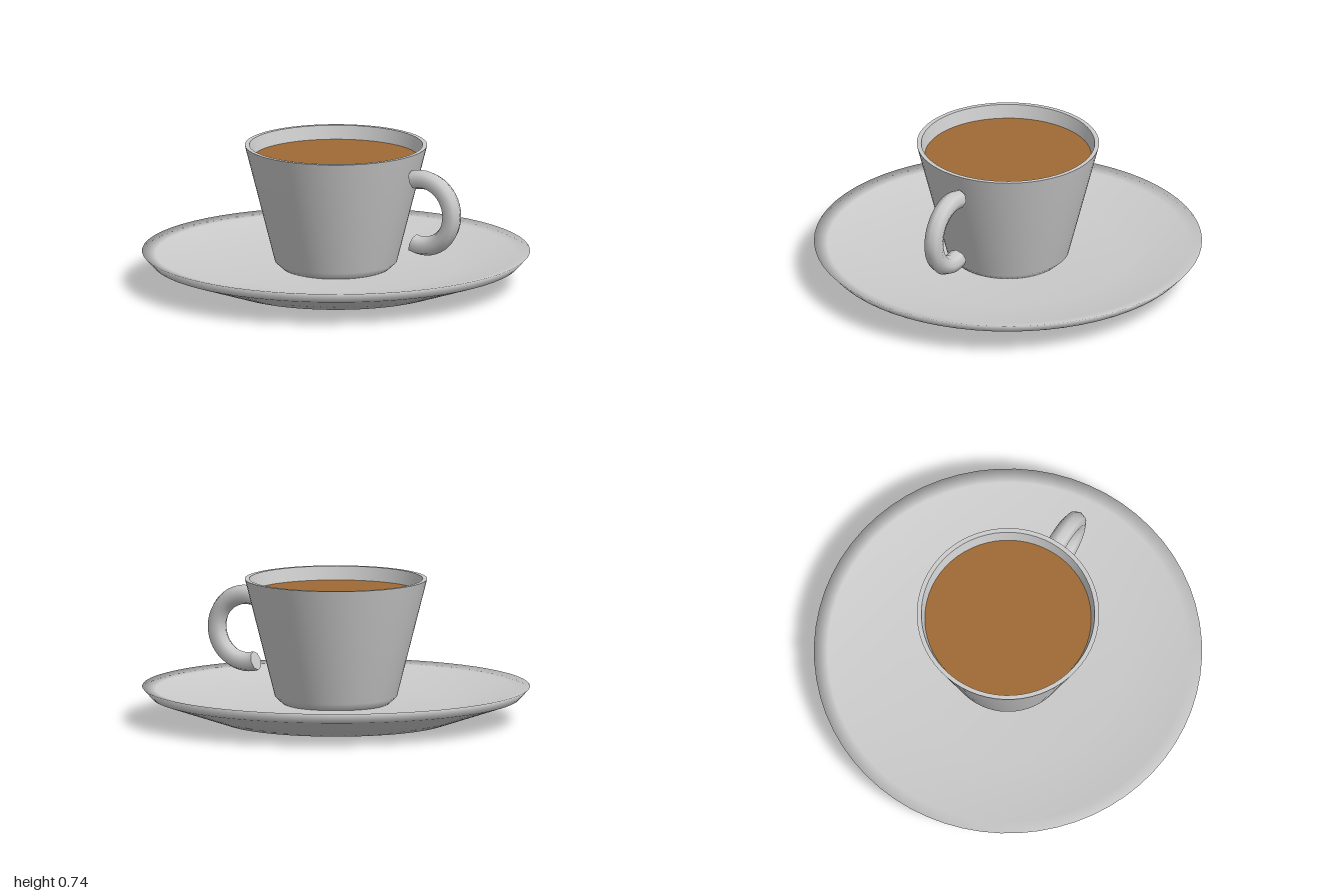
import * as THREE from 'three';

const grey = new THREE.MeshStandardMaterial({ color: 0xcccccc, side: THREE.DoubleSide });
const brown = new THREE.MeshStandardMaterial({ color: 0xa06a35 });

function lathe(name, profile) {
  const points = profile.map(([r, y]) => new THREE.Vector2(r, y));
  const mesh = new THREE.Mesh(new THREE.LatheGeometry(points, 64), grey);
  mesh.name = name;
  return mesh;
}

export function createModel() {
  const group = new THREE.Group();
  group.name = 'cupAndSaucer';

  // Shallow dish: underside, soft rim, gently sloping top
  group.add(lathe('saucer', [
    [0, 0], [0.59, 0.003], [0.95, 0.125], [1, 0.18],
    [0.93, 0.165], [0.6, 0.1], [0, 0.085],
  ]));

  // Tapered cup with chamfered foot; doubled points keep the lip crisp
  group.add(lathe('cup', [
    [0, 0.088], [0.27, 0.088], [0.315, 0.13], [0.47, 0.74], [0.47, 0.74],
    [0.447, 0.74], [0.447, 0.74], [0.3, 0.15], [0.27, 0.125], [0, 0.125],
  ]));

  // Drink surface
  const drink = new THREE.Mesh(new THREE.CircleGeometry(0.429, 64), brown);
  drink.name = 'drink';
  drink.rotation.x = -Math.PI / 2;
  drink.position.y = 0.67;
  group.add(drink);

  // C-shaped handle with closed ends
  const R = 0.175, tube = 0.05, half = 0.6 * Math.PI;
  const handle = new THREE.Group();
  handle.name = 'handle';
  handle.position.set(0.527, 0.445, 0);
  const bow = new THREE.Mesh(new THREE.TorusGeometry(R, tube, 8, 28, 2 * half), grey);
  bow.name = 'handleBow';
  bow.rotation.z = -half;
  handle.add(bow);
  for (const s of [-1, 1]) {
    const cap = new THREE.Mesh(new THREE.CircleGeometry(tube, 8), grey);
    cap.name = 'handleEnd';
    const a = s * half;
    cap.position.set(R * Math.cos(a), R * Math.sin(a), 0);
    cap.lookAt(cap.position.clone().add(new THREE.Vector3(-s * Math.sin(a), s * Math.cos(a), 0)));
    handle.add(cap);
  }
  group.add(handle);

  return group;
}
